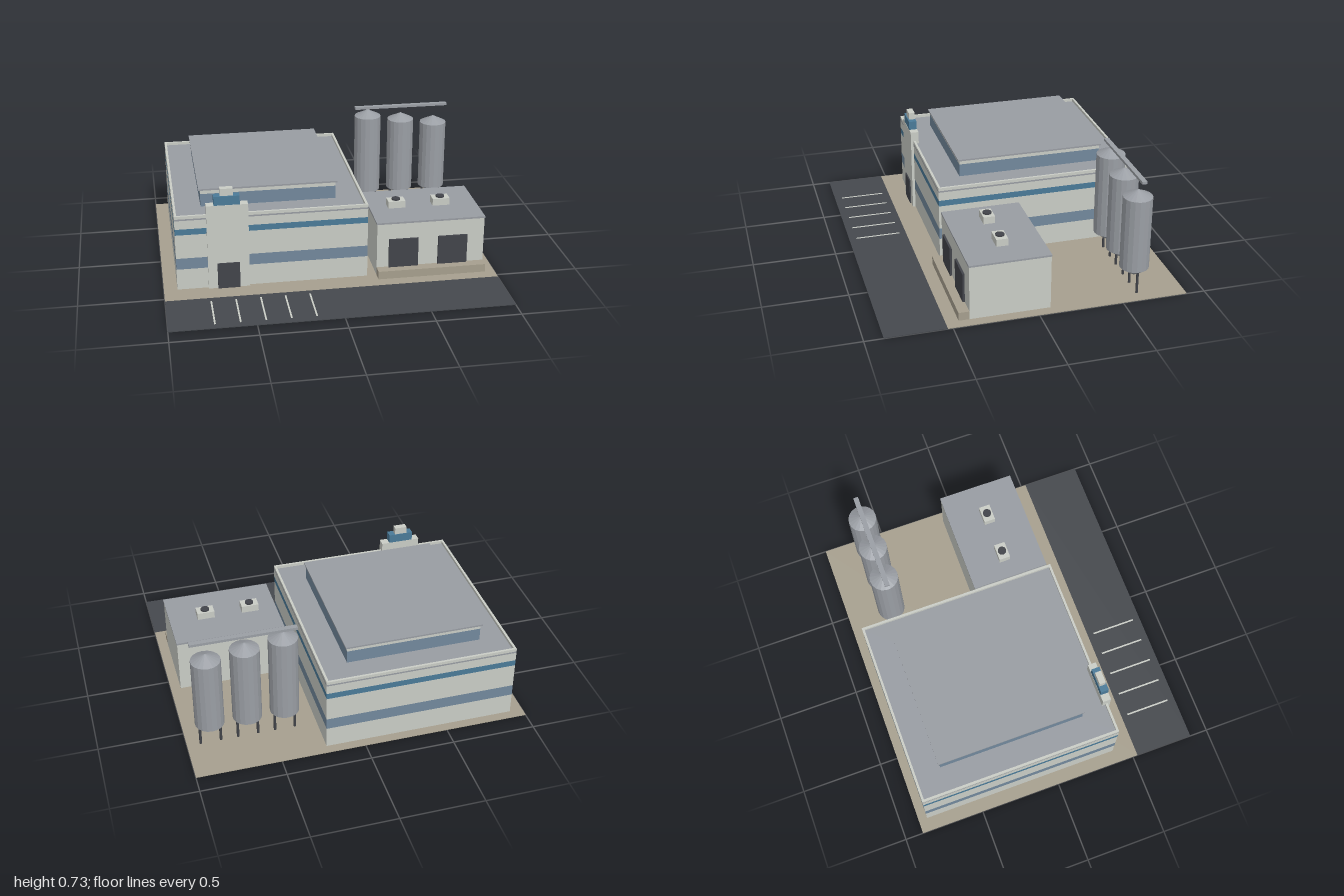
import * as THREE from 'three';

const mat = (name, color, side = THREE.FrontSide) => {
  const m = new THREE.MeshStandardMaterial({ color, side });
  m.name = name;
  return m;
};

export function createModel() {
  const wall = mat('wall', 0xc9ccc5);
  const blue = mat('blueTrim', 0x4a7a98);
  const glass = mat('windowBand', 0x72889c);
  const concrete = mat('concrete', 0xa69f8e);
  const asphalt = mat('asphalt', 0x45484d);
  const dark = mat('darkMetal', 0x42444a);
  const roof = mat('roof', 0x989ca2);
  const steel = mat('siloSteel', 0x9a9ea4);
  steel.flatShading = true;

  const model = new THREE.Group();
  model.name = 'factory';
  const group = (name) => {
    const g = new THREE.Group();
    g.name = name;
    model.add(g);
    return g;
  };
  const add = (parent, name, geometry, material) => {
    const mesh = new THREE.Mesh(geometry, material);
    mesh.name = name;
    parent.add(mesh);
    return mesh;
  };
  // Box given by its limits on each axis
  const box = (parent, name, material, [x0, x1], [y0, y1], [z0, z1]) =>
    add(parent, name, new THREE.BoxGeometry(x1 - x0, y1 - y0, z1 - z0), material)
      .position.set((x0 + x1) / 2, (y0 + y1) / 2, (z0 + z1) / 2);

  // Site: yard, car park and parking lines
  const site = group('site');
  box(site, 'yard', concrete, [-1, 1], [0, 0.004], [-0.89, 0.53]);
  box(site, 'carPark', asphalt, [-1, 1], [0, 0.004], [0.53, 0.89]);
  for (let i = 0; i < 5; i++) {
    const x = -0.735 + i * 0.145;
    box(site, 'parkingLine', wall, [x - 0.005, x + 0.005], [0.004, 0.006], [0.57, 0.845]);
  }

  // Main hall: stacked wall and window layers
  const hall = group('mainHall');
  const hx = [-0.92, 0.222], hz = [-0.836, 0.394];
  const layers = [
    ['lowerWall', wall, 0.004, 0.135], ['windowBand', glass, 0.135, 0.205],
    ['middleWall', wall, 0.205, 0.355], ['blueBand', blue, 0.355, 0.392],
    ['upperWall', wall, 0.392, 0.446], ['roofSlab', roof, 0.446, 0.456],
  ];
  for (const [name, m, y0, y1] of layers) box(hall, name, m, hx, [y0, y1], hz);

  // Parapet around the hall roof
  const t = 0.014, py = [0.456, 0.474];
  for (const [a, b] of [[hz[0], hz[0] + t], [hz[1] - t, hz[1]]]) box(hall, 'parapet', wall, hx, py, [a, b]);
  for (const [a, b] of [[hx[0], hx[0] + t], [hx[1] - t, hx[1]]])
    box(hall, 'parapet', wall, [a, b], py, [hz[0] + t, hz[1] - t]);

  // Raised roof storey
  const px = [-0.755, 0.055], pz = [-0.67, 0.225];
  box(hall, 'clerestoryWindows', glass, px, [0.456, 0.535], pz);
  box(hall, 'clerestoryWall', wall, px, [0.535, 0.56], pz);
  box(hall, 'clerestoryRoof', roof, [-0.765, 0.065], [0.56, 0.57], [-0.68, 0.235]);

  // Entrance tower
  const tower = group('entranceTower');
  box(tower, 'towerWall', wall, [-0.735, -0.49], [0.004, 0.535], [0.36, 0.411]);
  box(tower, 'towerCap', blue, [-0.69, -0.538], [0.535, 0.59], [0.361, 0.41]);
  box(tower, 'towerTop', wall, [-0.652, -0.576], [0.59, 0.634], [0.364, 0.402]);
  box(tower, 'entranceDoor', dark, [-0.68, -0.548], [0.004, 0.166], [0.411, 0.419]);

  // Loading annex with dock and roof fans
  const annex = group('loadingAnnex');
  box(annex, 'annexWall', wall, [0.28, 0.94], [0.004, 0.335], [-0.083, 0.392]);
  box(annex, 'annexRoof', roof, [0.277, 0.943], [0.335, 0.346], [-0.086, 0.395]);
  box(annex, 'loadingDock', concrete, [0.28, 0.94], [0.004, 0.054], [0.392, 0.455]);
  for (const x of [0.442, 0.745])
    box(annex, 'dockDoor', dark, [x - 0.09, x + 0.09], [0.054, 0.236], [0.392, 0.405]);
  for (const x of [0.442, 0.72]) {
    box(annex, 'roofUnit', wall, [x - 0.053, x + 0.053], [0.346, 0.39], [0.121, 0.191]);
    add(annex, 'roofFan', new THREE.CylinderGeometry(0.026, 0.026, 0.009, 16), dark)
      .position.set(x, 0.3945, 0.156);
  }

  // Silos with hopper bottoms and legs, each a little lower than the last
  const silos = group('silos');
  const sz = -0.612;
  [[0.414, 0.667], [0.636, 0.634], [0.858, 0.601]].forEach(([x, eave]) => {
    const profile = [[0, 0.09], [0.086, 0.15], [0.086, eave], [0, eave + 0.043]]
      .map(([r, y]) => new THREE.Vector2(r, y));
    add(silos, 'silo', new THREE.LatheGeometry(profile, 18), steel).position.set(x, 0, sz);
    for (const s of [-1, 1])
      add(silos, 'siloLeg', new THREE.CylinderGeometry(0.008, 0.008, 0.15, 8), dark)
        .position.set(x + s * 0.06, 0.079, sz);
  });
  box(silos, 'conveyor', steel, [0.33, 0.945], [0.714, 0.73], [sz - 0.015, sz + 0.015]);

  return model;
}
